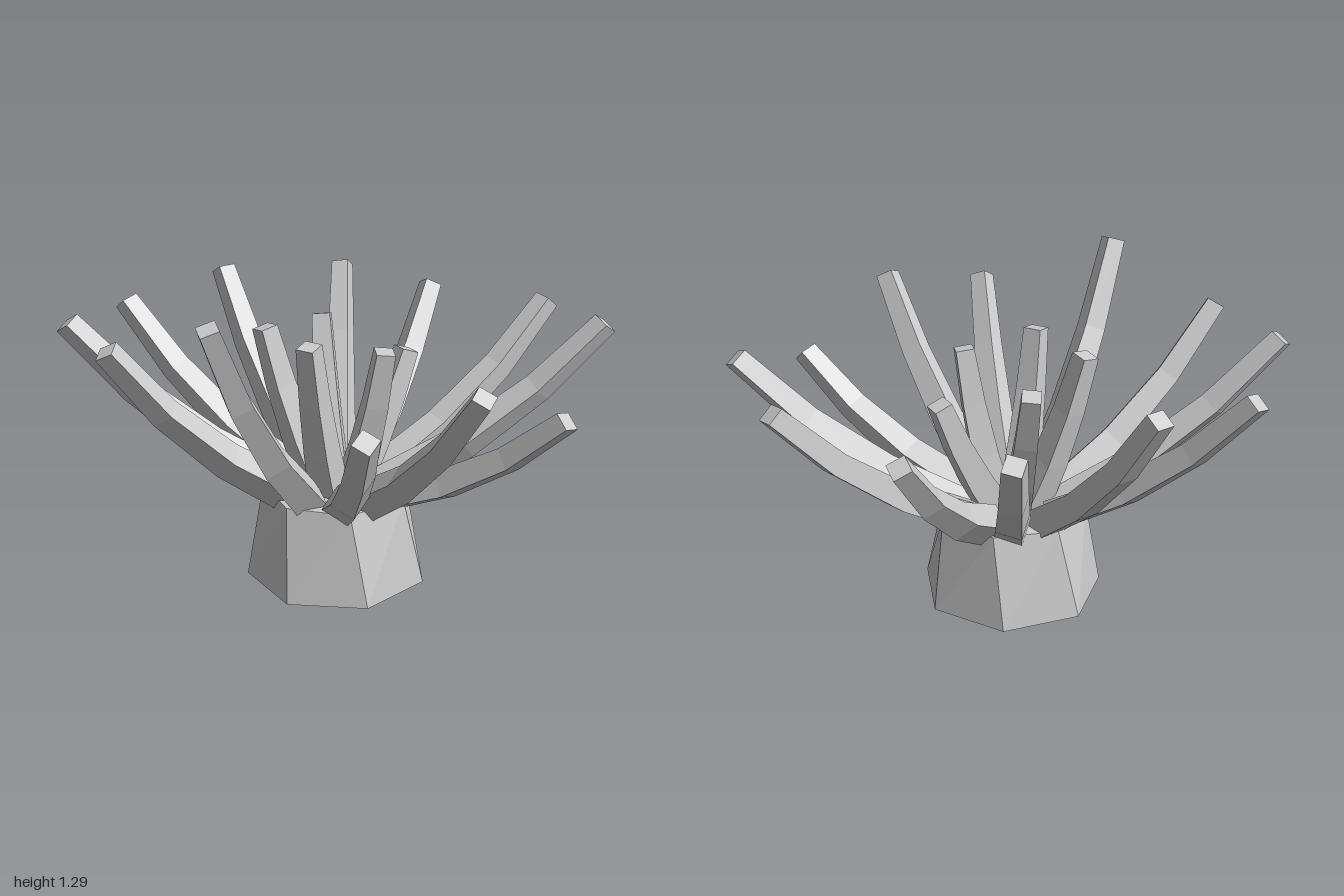
import * as THREE from 'three';

const CENTRE = new THREE.Vector3(-0.035, 0, -0.055);
const BASE_HEIGHT = 0.38;
const UP = new THREE.Vector3(0, 1, 0);

// Tip x, y, z and roll of the section in degrees (0 = ridge on top)
const OUTER = [
  [0.97, 1.01, 0.0, -35], [0.89, 1.05, 0.46, -10], [0.43, 0.85, 0.8, 25],
  [-0.03, 1.07, 0.9, -8], [-0.48, 0.99, 0.85, 8], [-0.76, 1.27, 0.27, 5],
  [-0.95, 1.09, -0.18, 8], [-0.93, 1.08, -0.59, 10], [-0.54, 1.02, -0.9, 25],
  [-0.07, 1.08, -0.92, 45], [0.49, 1.03, -0.85, 28], [0.76, 0.97, -0.55, 0],
];
const INNER = [
  [-0.25, 1.04, -0.24, 0], [0.09, 1.0, -0.37, 30], [0.3, 0.9, -0.06, 40],
  [0.05, 1.0, 0.16, 0], [-0.24, 1.05, 0.08, 40],
];

function facet(geometry) {
  const flat = geometry.toNonIndexed();
  flat.computeVertexNormals();
  return flat;
}

// Seven-sided frustum with a slight twist towards the top
function baseGeometry() {
  const g = new THREE.CylinderGeometry(0.3, 0.37, BASE_HEIGHT, 7, 1);
  const p = g.attributes.position;
  const v = new THREE.Vector3();
  for (let i = 0; i < p.count; i++) {
    v.fromBufferAttribute(p, i);
    const turn = Math.PI / 2 - (v.y > 0 ? THREE.MathUtils.degToRad(9) : 0);
    v.applyAxisAngle(UP, turn);
    p.setXYZ(i, v.x, v.y + BASE_HEIGHT / 2, v.z);
  }
  return facet(g);
}

// Square tapered arm swept along a curve that bends upwards
function tentacleGeometry([x, y, z, roll], startRadius, sag) {
  const tip = new THREE.Vector3(x, y, z);
  const out = tip.clone().sub(CENTRE).setY(0).normalize();
  const start = CENTRE.clone().addScaledVector(out, startRadius).setY(0.37);
  const control = start.clone().lerp(tip, 0.5).addScaledVector(out, sag * 0.8);
  control.y -= sag;
  const curve = new THREE.QuadraticBezierCurve3(start, control, tip);

  const g = new THREE.CylinderGeometry(0.052, 0.085, 1, 4, 3);
  g.rotateY(THREE.MathUtils.degToRad(roll));
  const p = g.attributes.position;
  for (let i = 0; i < p.count; i++) {
    const t = THREE.MathUtils.clamp(p.getY(i) + 0.5, 0, 1);
    const tangent = curve.getTangent(t);
    const side = tangent.clone().cross(UP).normalize();
    const normal = side.clone().cross(tangent);
    const v = curve.getPoint(t)
      .addScaledVector(side, p.getX(i))
      .addScaledVector(normal, p.getZ(i));
    p.setXYZ(i, v.x, v.y, v.z);
  }
  return facet(g);
}

export function createModel() {
  const model = new THREE.Group();
  model.name = 'seaAnemone';
  const grey = new THREE.MeshStandardMaterial({ color: 0xcccccc, flatShading: true });
  grey.name = 'paleGrey';

  function add(geometry, name) {
    const mesh = new THREE.Mesh(geometry, grey);
    mesh.name = name;
    model.add(mesh);
    return mesh;
  }

  add(baseGeometry(), 'base').position.copy(CENTRE);
  OUTER.forEach((t, i) => add(tentacleGeometry(t, 0.19, 0.09), `outerTentacle${i + 1}`));
  INNER.forEach((t, i) => add(tentacleGeometry(t, 0.07, 0.03), `innerTentacle${i + 1}`));
  return model;
}
